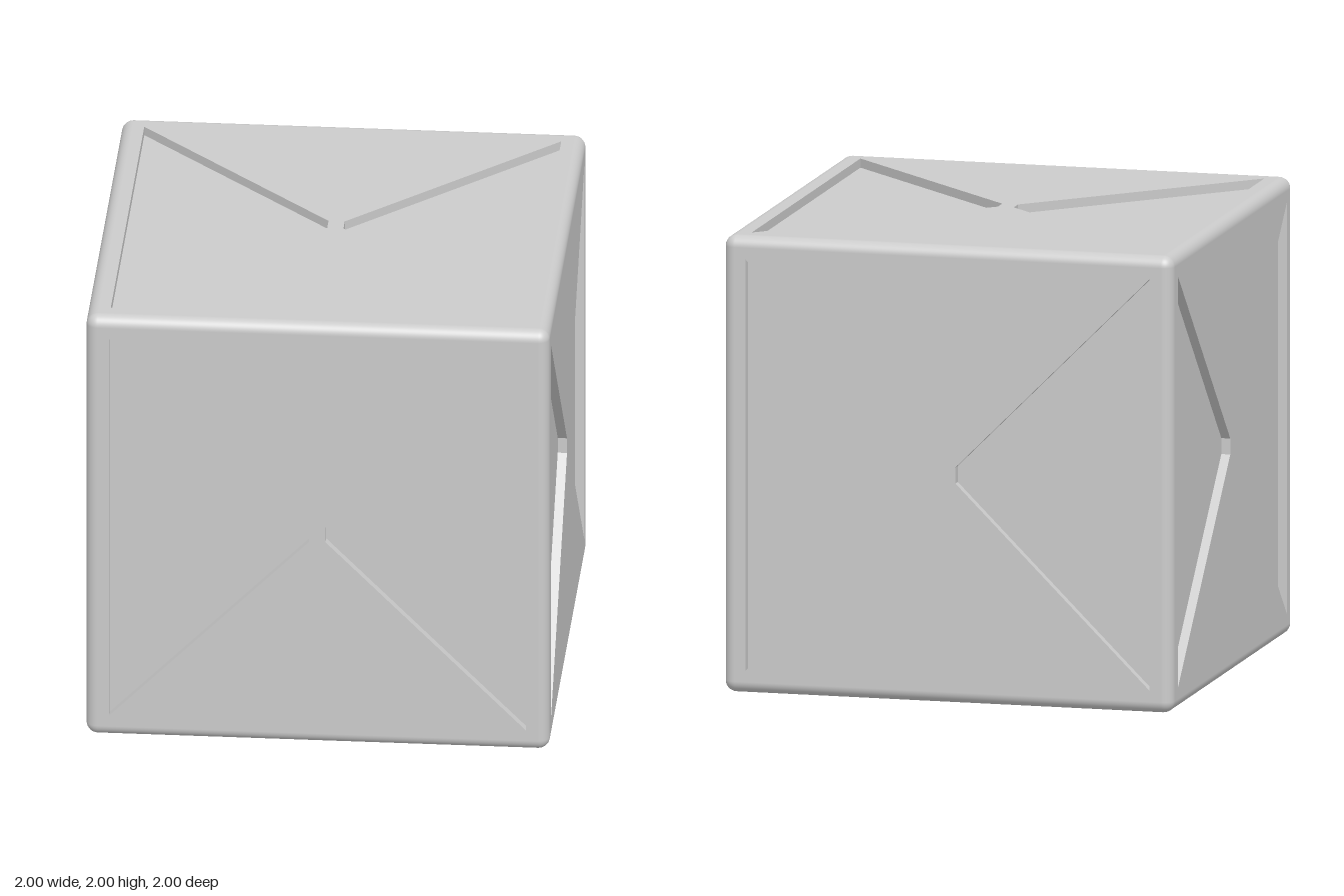
import * as THREE from 'three';
import { RoundedBoxGeometry } from 'three/addons/geometries/RoundedBoxGeometry.js';

const RADIUS = 0.05;   // rounding of the cube edges
const DEPTH = 0.04;    // depth of the recesses
const OUTER = 0.9;     // wide side of a recess
const INNER = 0.035;   // narrow side near the face centre

// Rounded edges and corners only: the flat face quads are left out
function edgeFrame() {
  const box = new RoundedBoxGeometry(2, 2, 2, 5, RADIUS);
  const src = box.index ? box.toNonIndexed() : box;
  const pos = src.attributes.position, nor = src.attributes.normal;
  const p = [], n = [];
  for (let i = 0; i < pos.count; i += 3) {
    const flat = ['getX', 'getY', 'getZ'].some((get) =>
      [1, -1].some((s) => [0, 1, 2].every((k) => Math.abs(pos[get](i + k) - s) < 1e-4)));
    if (flat) continue;
    for (let k = i; k < i + 3; k++) {
      p.push(pos.getX(k), pos.getY(k), pos.getZ(k));
      n.push(nor.getX(k), nor.getY(k), nor.getZ(k));
    }
  }
  const geo = new THREE.BufferGeometry();
  geo.setAttribute('position', new THREE.Float32BufferAttribute(p, 3));
  geo.setAttribute('normal', new THREE.Float32BufferAttribute(n, 3));
  return geo;
}

// Face plate pierced by two mirrored triangular recesses
function facePlate() {
  const h = 1 - RADIUS;
  const v = (x, y) => new THREE.Vector2(x, y);
  const shape = new THREE.Shape([v(-h, -h), v(h, -h), v(h, h), v(-h, h)]);
  for (const s of [1, -1]) {
    shape.holes.push(new THREE.Path([
      v(s * INNER, -INNER), v(s * INNER, INNER), v(s * OUTER, OUTER), v(s * OUTER, -OUTER),
      v(s * INNER, -INNER),
    ]));
  }
  const geo = new THREE.ExtrudeGeometry(shape, { depth: DEPTH, bevelEnabled: false });
  return geo.translate(0, 0, 1 - DEPTH);
}

export function createModel() {
  const model = new THREE.Group();
  model.name = 'panelledCube';
  const material = new THREE.MeshStandardMaterial({ color: 0xcccccc });
  const add = (name, geometry) => {
    const mesh = new THREE.Mesh(geometry, material);
    mesh.name = name;
    mesh.position.y = 1;
    model.add(mesh);
    return mesh;
  };

  add('roundedEdges', edgeFrame());

  // Inner block whose sides form the recess floors
  const core = 2 - 2 * DEPTH;
  add('recessFloors', new THREE.BoxGeometry(core, core, core));

  // Six identical plates turned to each side
  const plate = facePlate();
  const q = Math.PI / 2;
  const sides = {
    front: [0, 0], back: [0, 2 * q], left: [0, q], right: [0, -q], top: [-q, 0], bottom: [q, 0],
  };
  for (const [side, [rx, ry]] of Object.entries(sides)) {
    add(side + 'Plate', plate).rotation.set(rx, ry, 0);
  }
  return model;
}
